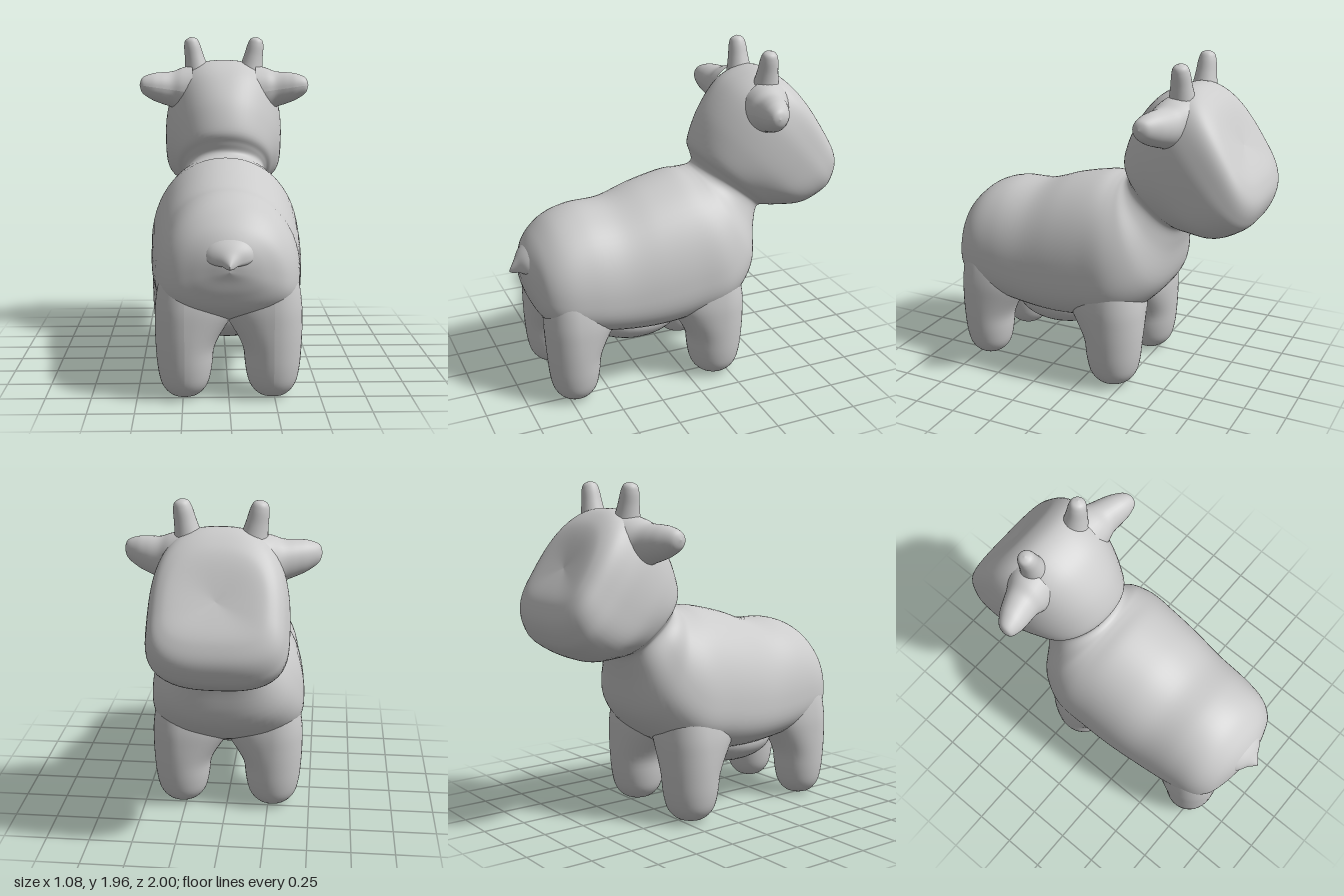
import * as THREE from 'three';

const material = new THREE.MeshStandardMaterial({ color: 0xcccccc });

// Each section: [topZ, topY, bottomZ, bottomY, halfWidth], listed in the -z direction
// and joined by a smooth spline. The outline gets squarer towards the face, and its
// widest level rises at the neck.
function loft(sections, steps, sides) {
  const positions = [], index = [];
  const last = sections.length - 1;
  const at = (i, k) => sections[Math.min(last, Math.max(0, i))][k];
  const spline = (i, t, k) => {
    const a = at(i - 1, k), b = at(i, k), c = at(i + 1, k), d = at(i + 2, k);
    return b + 0.5 * t * (c - a + t * (2 * a - 5 * b + 4 * c - d + t * (3 * (b - c) + d - a)));
  };
  const rings = last * steps;
  for (let r = 0; r <= rings; r++) {
    const i = Math.min(last - 1, Math.floor(r / steps)), t = r / steps - i;
    const [tz, ty, bz, by, w] = [0, 1, 2, 3, 4].map(k => spline(i, t, k));
    const mid = (tz + bz) / 2;
    const square = 2.1 + 0.55 * THREE.MathUtils.smoothstep(-mid, 0.42, 0.75);
    const widest = 0.34 + 0.13 * Math.exp(-(((mid + 0.37) / 0.1) ** 2));
    for (let j = 0; j < sides; j++) {
      const angle = (j / sides) * Math.PI * 2, c = Math.cos(angle), s = Math.sin(angle);
      const e = s < 0 ? square + 0.6 : square;
      const radius = Math.pow(Math.abs(c) ** e + Math.abs(s) ** e, -1 / e);
      const v = widest + radius * s * (s > 0 ? 1 - widest : widest);
      positions.push(Math.max(0, w) * radius * c, by + (ty - by) * v, bz + (tz - bz) * v);
      if (r < rings) {
        const a = r * sides + j, b = r * sides + (j + 1) % sides;
        index.push(a, a + sides, b, b, a + sides, b + sides);
      }
    }
  }
  const geometry = new THREE.BufferGeometry();
  geometry.setAttribute('position', new THREE.Float32BufferAttribute(positions, 3));
  geometry.setIndex(index);
  geometry.computeVertexNormals();
  return geometry;
}

// Smooth round part from a few [radius, height] points
function turned(profile, sides) {
  const curve = new THREE.SplineCurve(profile.map(p => new THREE.Vector2(...p)));
  const points = curve.getPoints(36);
  points.forEach(p => { p.x = Math.max(0, p.x); });
  return new THREE.LatheGeometry(points, sides);
}

// Move every vertex by a rule
function reshape(geometry, rule) {
  const p = geometry.attributes.position, v = new THREE.Vector3();
  for (let i = 0; i < p.count; i++) {
    rule(v.fromBufferAttribute(p, i));
    p.setXYZ(i, v.x, v.y, v.z);
  }
  geometry.computeVertexNormals();
  return geometry;
}

export function createModel() {
  const model = new THREE.Group();
  const add = (name, geometry) => {
    const mesh = new THREE.Mesh(geometry, material);
    mesh.name = name;
    model.add(mesh);
    return mesh;
  };

  // Rump, barrel, chest, neck and head as one continuous skin
  add('bodyAndHead', loft([
    [0.94, 0.76, 0.94, 0.74, 0],
    [0.935, 0.82, 0.925, 0.69, 0.09],
    [0.90, 0.91, 0.905, 0.61, 0.20],
    [0.84, 0.99, 0.865, 0.52, 0.305],
    [0.74, 1.07, 0.77, 0.45, 0.37],
    [0.60, 1.115, 0.60, 0.40, 0.40],
    [0.40, 1.125, 0.40, 0.37, 0.42],
    [0.20, 1.19, 0.20, 0.36, 0.44],
    [0.00, 1.235, 0.00, 0.38, 0.45],
    [-0.10, 1.235, -0.25, 0.44, 0.45],
    [-0.14, 1.236, -0.44, 0.62, 0.385],
    [-0.165, 1.245, -0.495, 0.86, 0.285],
    [-0.18, 1.27, -0.53, 0.975, 0.25],
    [-0.168, 1.32, -0.58, 0.985, 0.265],
    [-0.155, 1.40, -0.64, 0.98, 0.305],
    [-0.22, 1.57, -0.79, 0.985, 0.365],
    [-0.34, 1.725, -0.93, 1.06, 0.382],
    [-0.46, 1.80, -0.98, 1.13, 0.37],
    [-0.58, 1.82, -1.00, 1.21, 0.345],
    [-0.68, 1.77, -0.985, 1.29, 0.295],
    [-0.755, 1.68, -0.945, 1.37, 0.21],
    [-0.845, 1.50, -0.845, 1.50, 0],
  ], 6, 64));

  // Small pointed tail
  add('tail', loft([
    [1.0, 0.78, 1.0, 0.77, 0],
    [0.985, 0.805, 0.98, 0.762, 0.022],
    [0.96, 0.84, 0.955, 0.77, 0.055],
    [0.92, 0.89, 0.92, 0.77, 0.12],
    [0.85, 0.95, 0.85, 0.78, 0.17],
  ], 5, 32));

  // Rounded underside between the legs
  const belly = new THREE.SphereGeometry(1, 40, 24);
  belly.scale(0.29, 0.16, 0.32);
  add('belly', belly).position.set(0, 0.4, 0.27);

  for (const side of [1, -1]) {
    const name = side > 0 ? 'left' : 'right';

    // Legs: round feet, spreading inward and under the belly at the top
    for (const [part, x, z, size, under] of [
      ['FrontLeg', 0.275, -0.18, 1.06, 1], ['HindLeg', 0.24, 0.705, 0.97, -1],
    ]) {
      const leg = turned([[0, 0], [0.075, 0.014], [0.128, 0.07], [0.152, 0.16], [0.163, 0.28],
        [0.167, 0.4], [0.164, 0.52], [0.14, 0.66], [0.09, 0.78], [0, 0.84]], 40);
      add(name + part, reshape(leg, v => {
        const flare = THREE.MathUtils.smoothstep(v.y, 0.24, 0.56);
        v.x *= size * (v.x * side < 0 ? 1 + 0.8 * flare : 1);
        v.z *= size * (v.z * under > 0 ? 1 + 0.7 * flare : 1);
      })).position.set(x * side, 0.005, z);
    }

    // Blunt horn leaning outward
    const horn = add(name + 'Horn', turned([[0.085, 0], [0.07, 0.07], [0.06, 0.13],
      [0.051, 0.2], [0.036, 0.237], [0, 0.252]], 28));
    horn.position.set(0.167 * side, 1.72, -0.54);
    horn.rotation.z = -0.19 * side;

    // Ear: wide at the root, rising and sweeping back to the tip
    const ear = turned([[0.18, 0.2], [0.15, 0.27], [0.118, 0.33], [0.102, 0.4], [0.085, 0.46],
      [0.05, 0.52], [0, 0.538]], 36);
    ear.rotateZ(-side * Math.PI / 2);
    add(name + 'Ear', reshape(ear, v => {
      const t = (Math.abs(v.x) - 0.3) / 0.24;
      v.z = v.z * 0.92 - 0.51 + 0.07 * t;
      v.y = v.y * 0.98 + 1.63 + 0.035 * t;
    }));
  }
  return model;
}
